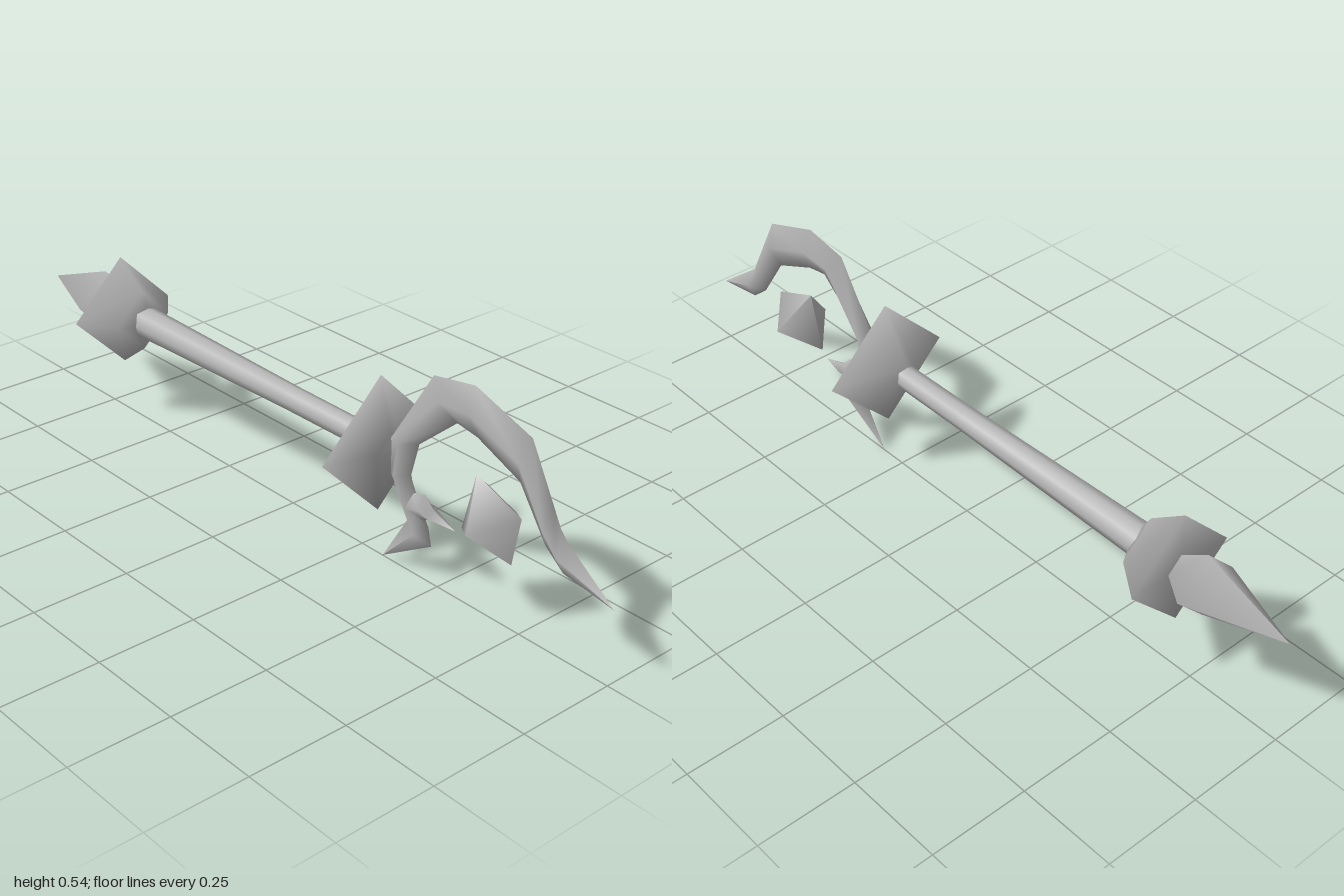
import * as THREE from 'three';

const AXIS_Y = 0.285;

// Turned part along the x axis; profile is [x, radius] from left to right
function turned(name, profile, sides, material) {
  const points = profile.map(([x, r]) => new THREE.Vector2(r, x));
  const geometry = new THREE.LatheGeometry(points, sides);
  geometry.rotateZ(-Math.PI / 2);
  const mesh = new THREE.Mesh(geometry, material);
  mesh.name = name;
  mesh.position.y = AXIS_Y;
  return mesh;
}

// Blade with a diamond cross-section; each section is [outerX, outerY, innerX, innerY]
function blade(name, sections, halfDepth, material) {
  const positions = [];
  const index = [];
  sections.forEach(([ox, oy, ix, iy], k) => {
    const tip = ox === ix && oy === iy;
    const mx = (ox + ix) / 2;
    const my = (oy + iy) / 2;
    const d = tip ? 0 : halfDepth;
    positions.push(ox, oy, 0, mx, my, d, ix, iy, 0, mx, my, -d);
    if (k === 0) return;
    for (let j = 0; j < 4; j++) {
      const a = (k - 1) * 4 + j;
      const b = (k - 1) * 4 + (j + 1) % 4;
      index.push(a, a + 4, b, b, a + 4, b + 4);
    }
  });
  const geometry = new THREE.BufferGeometry();
  geometry.setAttribute('position', new THREE.Float32BufferAttribute(positions, 3));
  geometry.setIndex(index);
  geometry.computeVertexNormals();
  const mesh = new THREE.Mesh(geometry, material);
  mesh.name = name;
  return mesh;
}

export function createModel() {
  const group = new THREE.Group();
  group.name = 'staff';
  const grey = new THREE.MeshStandardMaterial({ color: 0xb4b4b4 });
  grey.name = 'grey';

  // Pommel, collar, shaft and guard
  group.add(
    turned('pommelSpike', [[-1, 0], [-0.765, 0.086], [-0.69, 0.035], [-0.66, 0.03]], 4, grey),
    turned('collar', [[-0.693, 0], [-0.693, 0.148], [-0.6, 0.08], [-0.578, 0.045], [-0.57, 0]], 4, grey),
    turned('shaft', [[-0.6, 0.042], [0.0, 0.031], [0.25, 0.03]], 8, grey),
    turned('guard', [[0.21, 0], [0.222, 0.034], [0.3, 0.172], [0.335, 0.04], [0.345, 0]], 4, grey),
  );

  // Hooked head, from the upper tip round to the lower tip
  group.add(blade('hookBlade', [
    [1, 0.184, 1, 0.184],
    [0.852, 0.294, 0.86, 0.206],
    [0.825, 0.345, 0.807, 0.249],
    [0.754, 0.479, 0.727, 0.366],
    [0.588, 0.537, 0.6, 0.42],
    [0.465, 0.516, 0.54, 0.43],
    [0.338, 0.315, 0.428, 0.334],
    [0.34, 0.225, 0.406, 0.249],
    [0.38, 0.175, 0.42, 0.195],
    [0.406, 0.142, 0.476, 0.094],
    [0.32, 0, 0.32, 0],
  ], 0.025, grey));

  // Small thorn on the inside of the hook
  group.add(blade('thorn', [
    [0.37, 0.19, 0.37, 0.19],
    [0.41, 0.14, 0.41, 0.205],
    [0.45, 0.15, 0.452, 0.217],
    [0.467, 0.163, 0.478, 0.188],
    [0.55, 0.166, 0.55, 0.166],
  ], 0.022, grey));

  // Floating gem: a tilted eight-faced crystal
  const gem = blade('gem', [
    [0.604, 0.334, 0.604, 0.334],
    [0.738, 0.28, 0.567, 0.184],
    [0.717, 0.158, 0.717, 0.158],
  ], 0.078, grey);
  // Four-sided rings run clockwise here, so reverse the faces
  const order = Array.from(gem.geometry.index.array);
  const p = gem.geometry.attributes.position;
  const a = new THREE.Vector3().fromBufferAttribute(p, 0);
  const c = new THREE.Vector3().fromBufferAttribute(p, 4);
  const s = new THREE.Vector3().fromBufferAttribute(p, 5);
  const centre = new THREE.Vector3(0.655, 0.243, 0);
  const normal = c.clone().sub(a).cross(s.clone().sub(a));
  const frontFacing = normal.dot(s.clone().sub(centre)) < 0;
  if (frontFacing === (faceSign(order, p, centre) > 0)) gem.geometry.setIndex(order);
  if (faceSign(order, p, centre) < 0) gem.geometry.setIndex(order.reverse());
  gem.geometry.computeVertexNormals();
  group.add(gem);

  return group;
}

// Positive when the faces point away from the centre
function faceSign(order, position, centre) {
  let sum = 0;
  const v = [new THREE.Vector3(), new THREE.Vector3(), new THREE.Vector3()];
  for (let i = 0; i < order.length; i += 3) {
    v.forEach((q, j) => q.fromBufferAttribute(position, order[i + j]).sub(centre));
    sum += v[0].dot(v[1].clone().cross(v[2]));
  }
  return sum;
}
